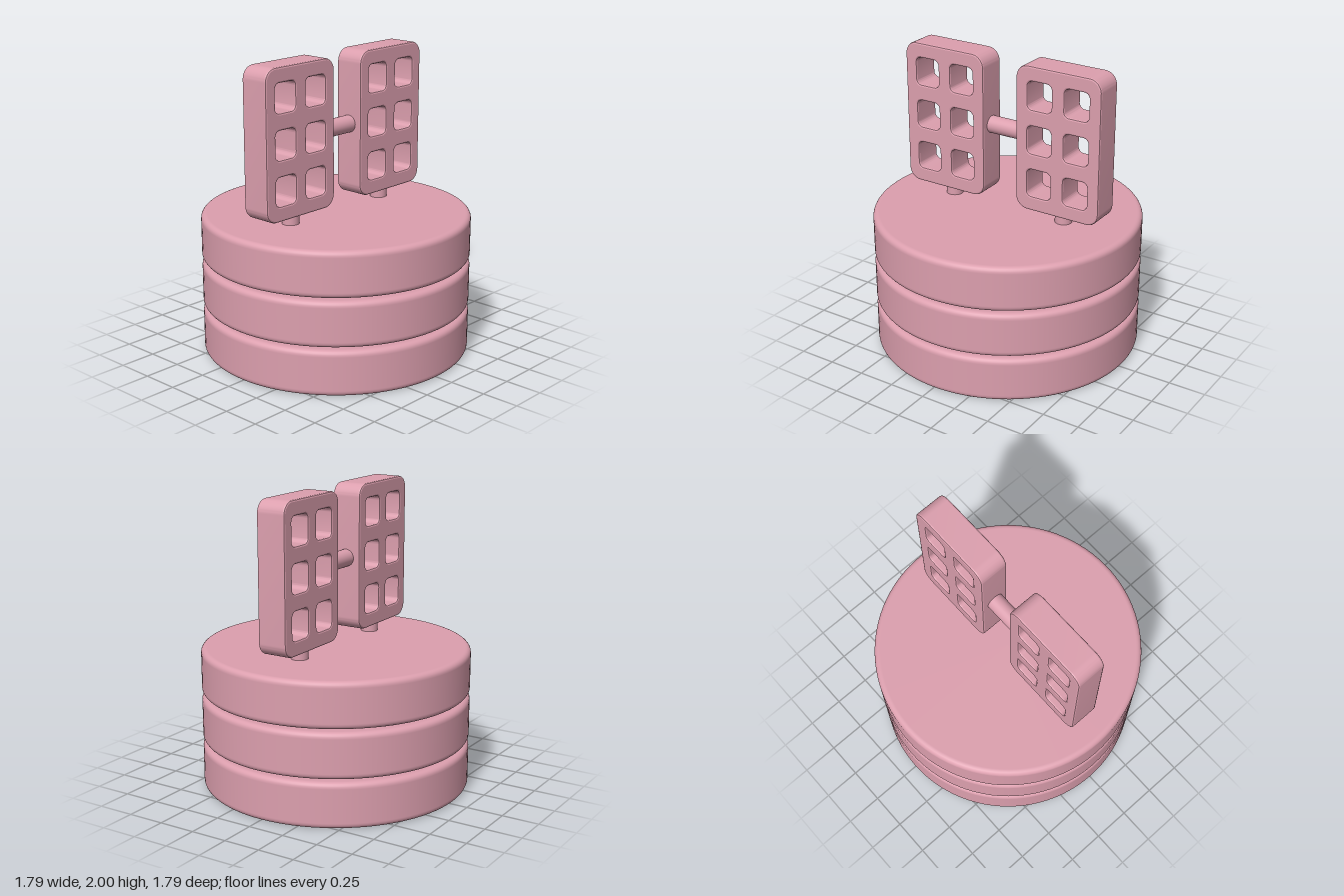
import * as THREE from 'three';
import { toCreasedNormals } from 'three/addons/utils/BufferGeometryUtils.js';

const pink = new THREE.MeshStandardMaterial({ color: 0xdc9fae });
pink.name = 'dusty pink';

function add(parent, name, geometry, x = 0, y = 0, z = 0) {
  const mesh = new THREE.Mesh(geometry, pink);
  mesh.name = name;
  mesh.position.set(x, y, z);
  parent.add(mesh);
  return mesh;
}

// Solid disc of the given height with rounded rims, standing on y = 0
function roundedDisc(radius, height, r, segments) {
  const e = r * 0.15; // extra rings beside the rims keep the flats flat
  const points = [new THREE.Vector2(0, 0), new THREE.Vector2(radius - r - e, 0)];
  for (let i = 0; i <= 6; i++) {
    const a = (i / 6 - 1) * Math.PI / 2;
    points.push(new THREE.Vector2(radius - r + r * Math.cos(a), r + r * Math.sin(a)));
  }
  points.push(new THREE.Vector2(radius, r + e), new THREE.Vector2(radius, height - r - e));
  for (let i = 0; i <= 6; i++) {
    const a = i / 6 * Math.PI / 2;
    points.push(new THREE.Vector2(radius - r + r * Math.cos(a), height - r + r * Math.sin(a)));
  }
  points.push(new THREE.Vector2(radius - r - e, height), new THREE.Vector2(0, height));
  return new THREE.LatheGeometry(points, segments);
}

// Draws a rounded rectangle centred on (cx, cy) into a path
function roundedRect(path, cx, cy, w, h, r) {
  const x = w / 2 - r, y = h / 2 - r;
  path.absarc(cx + x, cy + y, r, 0, Math.PI / 2);
  path.absarc(cx - x, cy + y, r, Math.PI / 2, Math.PI);
  path.absarc(cx - x, cy - y, r, Math.PI, Math.PI * 1.5);
  path.absarc(cx + x, cy - y, r, Math.PI * 1.5, Math.PI * 2);
  path.closePath();
  return path;
}

// Thick plate pierced by a 2 x 3 grid of windows
function gridPanel() {
  const shape = roundedRect(new THREE.Shape(), 0, 0, 0.61, 0.98, 0.085);
  for (const x of [-0.134, 0.134]) {
    for (const y of [-0.297, 0, 0.297]) {
      shape.holes.push(roundedRect(new THREE.Path(), x, y, 0.175, 0.187, 0.035));
    }
  }
  const bevel = 0.012, depth = 0.204;
  const geometry = new THREE.ExtrudeGeometry(shape, {
    depth: depth - 2 * bevel, curveSegments: 8,
    bevelEnabled: true, bevelThickness: bevel, bevelSize: bevel,
    bevelOffset: -bevel, bevelSegments: 2,
  });
  geometry.translate(0, 0, bevel - depth / 2);
  return toCreasedNormals(geometry, 0.35);
}

export function createModel() {
  const model = new THREE.Group();
  model.name = 'gridPanelsOnStackedDiscs';

  // Base: three stacked discs with narrower cores filling the gaps
  const base = new THREE.Group();
  base.name = 'base';
  model.add(base);
  const disc = roundedDisc(0.895, 0.304, 0.035, 96);
  for (let i = 0; i < 3; i++) add(base, 'disc', disc, 0, i * 0.323, 0);
  const core = new THREE.CylinderGeometry(0.81, 0.81, 0.06, 96, 1, true);
  for (let i = 0; i < 2; i++) add(base, 'core', core, 0, 0.3135 + i * 0.323, 0);

  // Mirrored pair of panels on short posts
  const panel = gridPanel();
  const post = new THREE.CylinderGeometry(0.057, 0.057, 0.12, 32);
  for (const side of [-1, 1]) {
    add(model, side > 0 ? 'leftPanel' : 'rightPanel', panel, side * 0.43, 1.51, 0);
    add(model, side > 0 ? 'leftPost' : 'rightPost', post, side * 0.43, 0.985, 0);
  }

  // Bar joining the panels
  const bar = roundedDisc(0.058, 0.266, 0.012, 32);
  bar.translate(0, -0.133, 0);
  add(model, 'connectingBar', bar, 0, 1.51, 0).rotation.z = Math.PI / 2;

  return model;
}
